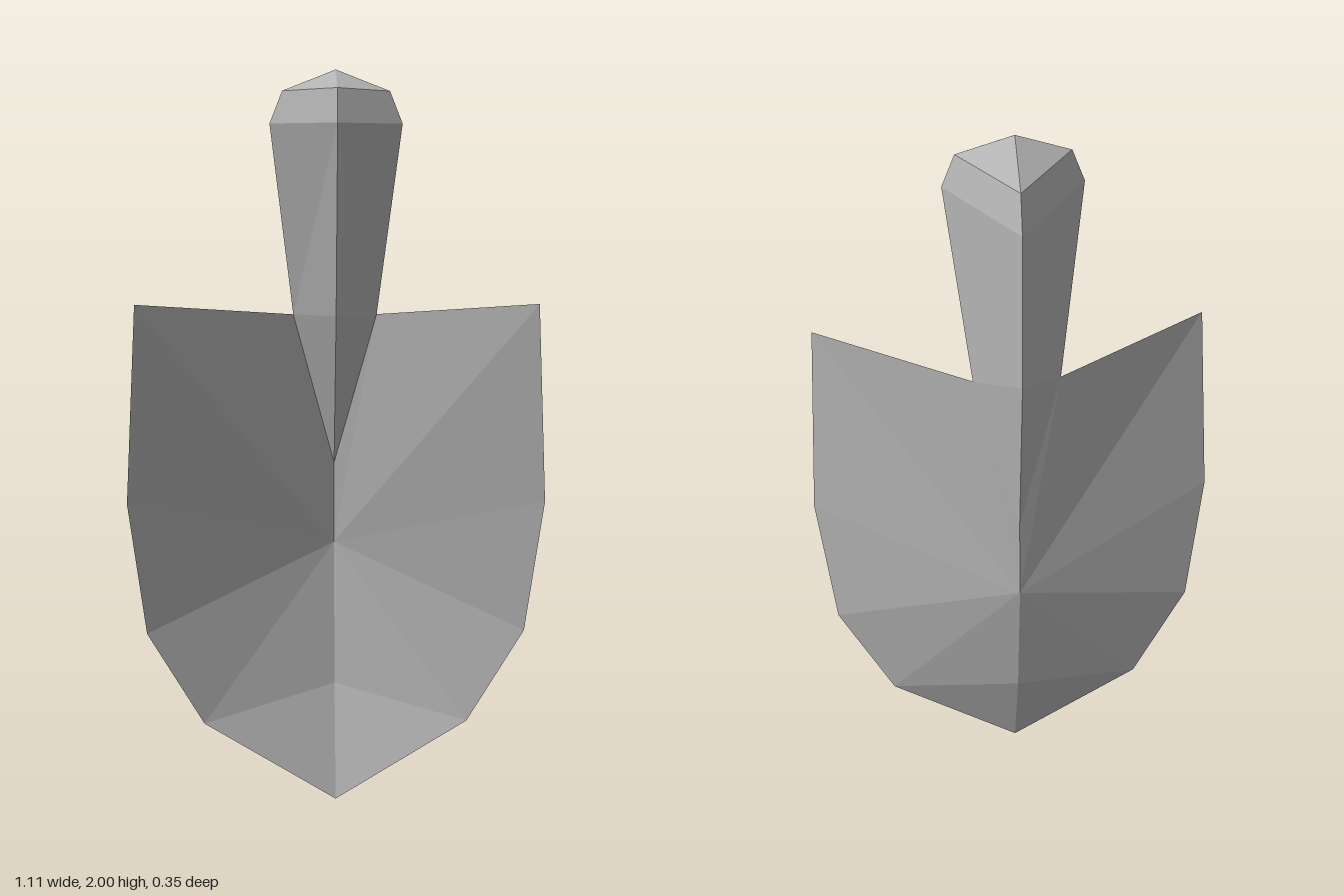
import * as THREE from 'three';

const steel = new THREE.MeshStandardMaterial({ color: 0xb4b4b4, flatShading: true, side: THREE.DoubleSide });
steel.name = 'grey steel';

// Faceted mesh from a list of triangles, each made of three [x, y, z] corners
function facetMesh(name, triangles) {
  const geometry = new THREE.BufferGeometry();
  geometry.setAttribute('position', new THREE.Float32BufferAttribute(triangles.flat(2), 3));
  geometry.computeVertexNormals();
  const mesh = new THREE.Mesh(geometry, steel);
  mesh.name = name;
  return mesh;
}

// Where the handle runs out into the blade, and the shoulder where both meet
const neck = [0, 0.94, -0.115];
const shoulder = [0.113, 1.36, -0.04];

// One half of the blade, fanned around the deepest point; side is 1 or -1
function bladeHalf(name, side) {
  const hub = [0, 0.71, -0.128];
  const keel = [0, 0.31, -0.08];
  const tip = [0, 0, 0.012];
  const cheek = [0.365, 0.23, 0.025];
  const rim = [neck, shoulder, [0.52, 1.4, 0.175], [0.556, 0.87, 0.115], [0.515, 0.5, 0.063], cheek, keel];
  const triangles = [];
  for (let i = 0; i < rim.length - 1; i++) triangles.push([hub, rim[i + 1], rim[i]]);
  triangles.push([keel, tip, cheek]);
  const mirrored = triangles.map(([a, b, c]) => {
    const corners = [a, b, c].map(([x, y, z]) => [x * side, y, z]);
    return side > 0 ? corners : corners.reverse();
  });
  return facetMesh(name, mirrored);
}

// Handle with a diamond section, closed to a point at both ends
function handle() {
  const top = [0, 2, 0.015];
  const ring = (front, side, back) => [front, side, back, [-side[0], side[1], side[2]]];
  const rings = [
    ring([0, 1.945, 0.13], [0.14, 1.943, 0.047], [0, 1.92, -0.125]),
    ring([0, 1.857, 0.155], [0.173, 1.86, 0.05], [0, 1.83, -0.163]),
    ring([0, 1.36, 0.045], shoulder, [0, 1.42, -0.175]),
  ];
  const triangles = [];
  for (let i = 0; i < 4; i++) {
    const j = (i + 1) % 4;
    triangles.push([top, rings[0][i], rings[0][j]]);
    for (let r = 0; r < 2; r++) {
      const [a, b, c, d] = [rings[r][i], rings[r][j], rings[r + 1][j], rings[r + 1][i]];
      // Diagonals run from the ridges to the side edges on both halves
      if (i % 2 === 0) triangles.push([a, d, c], [a, c, b]);
      else triangles.push([a, d, b], [b, d, c]);
    }
    triangles.push([rings[2][i], neck, rings[2][j]]);
  }
  return facetMesh('handle', triangles);
}

export function createModel() {
  const trowel = new THREE.Group();
  trowel.name = 'trowel';
  trowel.add(bladeHalf('bladeLeft', 1), bladeHalf('bladeRight', -1), handle());
  return trowel;
}
